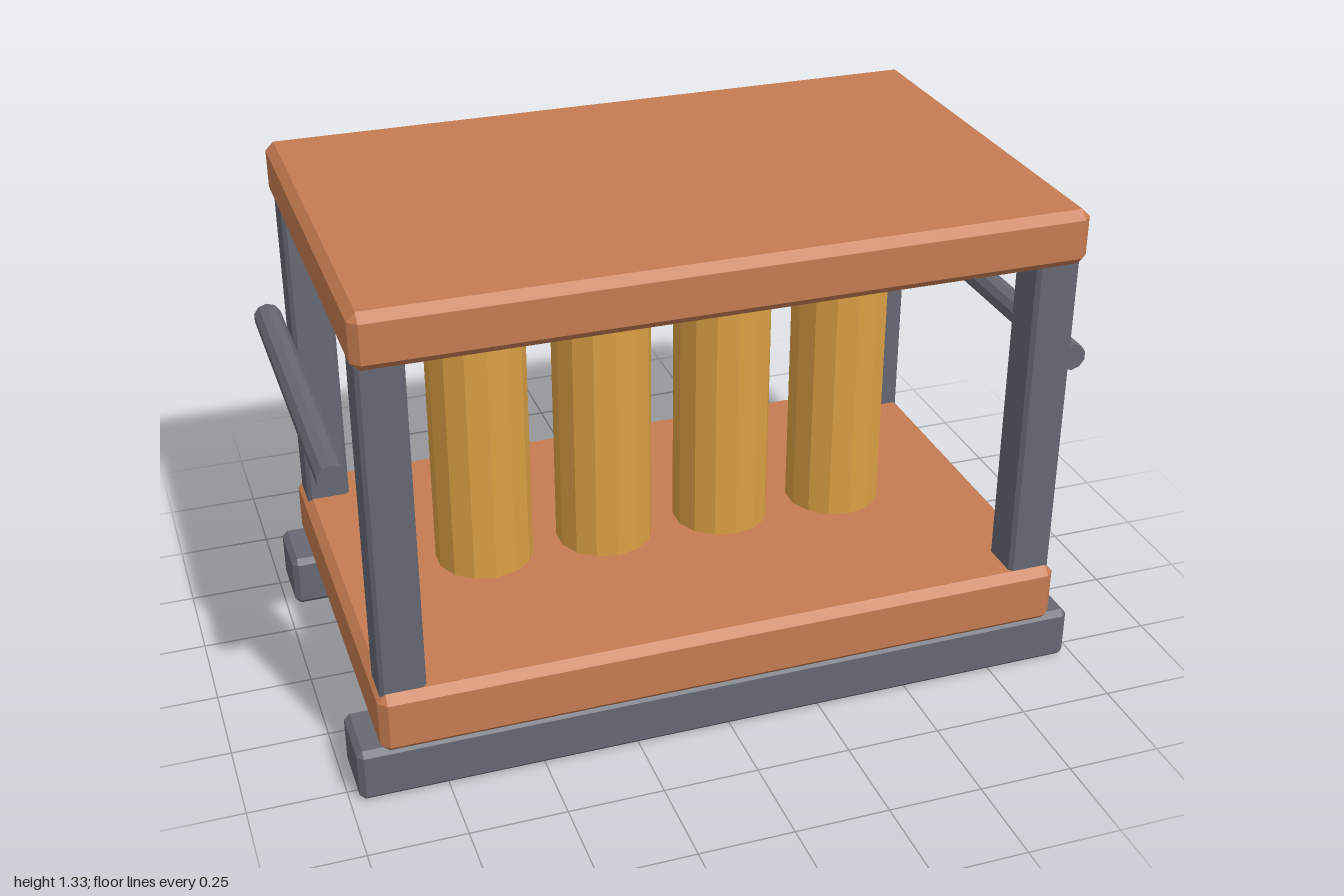
import * as THREE from 'three';
import { ConvexGeometry } from 'three/addons/geometries/ConvexGeometry.js';

function material(name, color) {
  const m = new THREE.MeshStandardMaterial({ color });
  m.name = name;
  return m;
}

// Box with every edge and corner cut flat by c
function chamferedBox(w, h, d, c) {
  const points = [];
  for (const sx of [-1, 1]) for (const sy of [-1, 1]) for (const sz of [-1, 1]) {
    const x = w / 2, y = h / 2, z = d / 2;
    points.push(
      new THREE.Vector3(sx * x, sy * (y - c), sz * (z - c)),
      new THREE.Vector3(sx * (x - c), sy * y, sz * (z - c)),
      new THREE.Vector3(sx * (x - c), sy * (y - c), sz * z)
    );
  }
  return new ConvexGeometry(points);
}

export function createModel() {
  const model = new THREE.Group();
  model.name = 'cylinderRack';
  const copper = material('copper', 0xc67c52);
  const brass = material('brass', 0xdca044);
  const steel = material('steel', 0x666973);

  const add = (name, geometry, mat, x, y, z) => {
    const mesh = new THREE.Mesh(geometry, mat);
    mesh.name = name;
    mesh.position.set(x, y, z);
    model.add(mesh);
    return mesh;
  };

  // Base and top slabs
  add('baseSlab', chamferedBox(1.83, 0.168, 1.134, 0.022), copper, 0, 0.22, 0);
  add('topSlab', chamferedBox(1.83, 0.145, 1.134, 0.022), copper, 0, 1.257, 0);

  // Skids under the base
  const skid = chamferedBox(1.95, 0.146, 0.19, 0.015);
  for (const s of [-1, 1]) add(s > 0 ? 'frontSkid' : 'backSkid', skid, steel, 0, 0.073, s * 0.46);

  // Corner posts, sunk a little into both slabs
  const post = chamferedBox(0.116, 0.94, 0.118, 0.01);
  for (const sx of [-1, 1]) for (const sz of [-1, 1]) {
    add((sz > 0 ? 'front' : 'back') + (sx > 0 ? 'Left' : 'Right') + 'Post',
      post, steel, sx * 0.847, 0.74, sz * 0.485);
  }

  // Row of upright cylinders
  const column = new THREE.CylinderGeometry(0.131, 0.131, 0.92, 14).toNonIndexed();
  column.computeVertexNormals();
  for (let i = 0; i < 4; i++) add('column' + (i + 1), column, brass, (i - 1.5) * 0.337, 0.74, 0);

  // Side handle bars
  const bar = new THREE.CylinderGeometry(0.037, 0.037, 0.916, 10).toNonIndexed();
  bar.computeVertexNormals();
  bar.rotateX(Math.PI / 2);
  for (const s of [-1, 1]) add(s > 0 ? 'leftHandle' : 'rightHandle', bar, steel, s * 0.963, 0.872, 0);

  return model;
}
